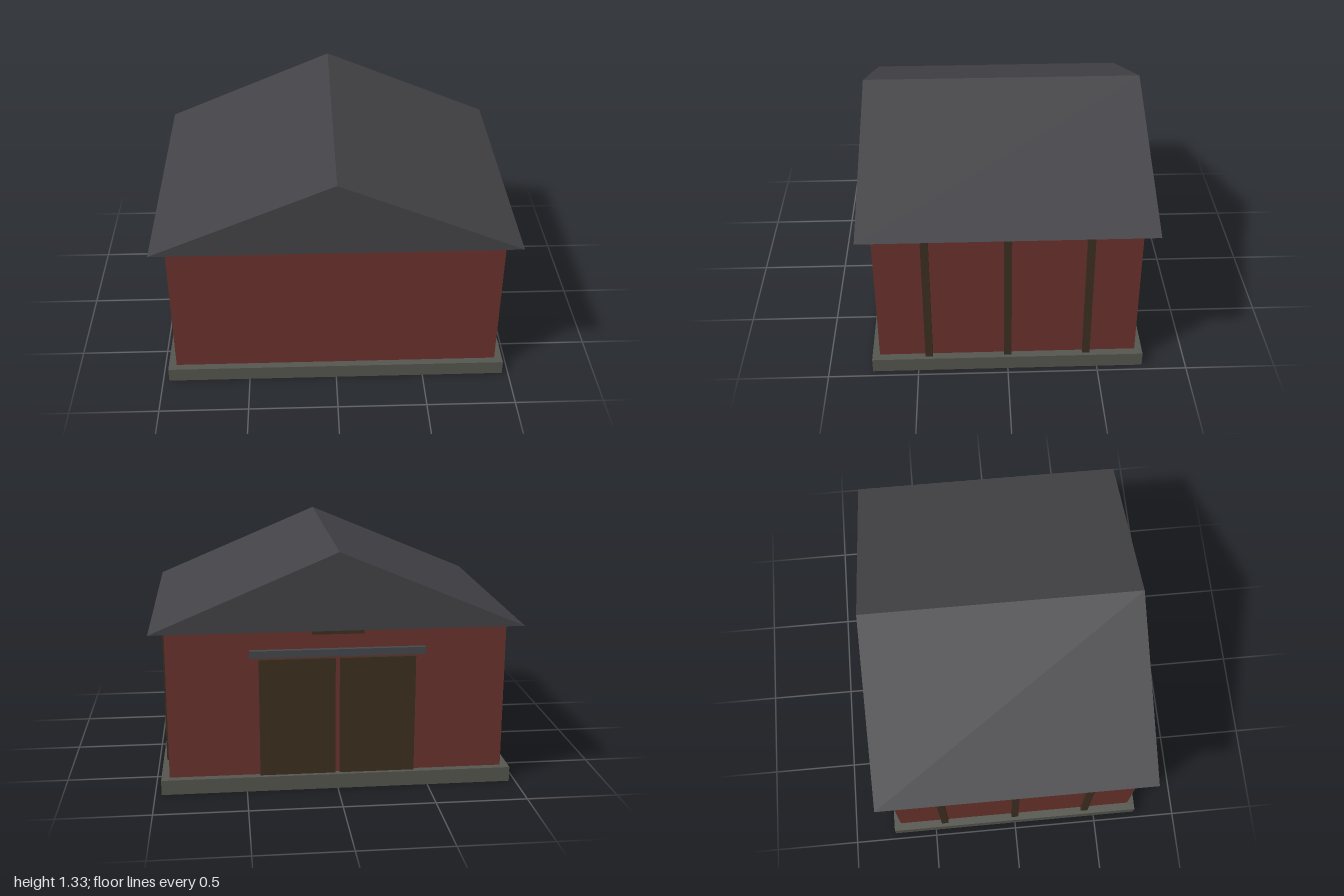
import * as THREE from 'three';

const paint = (color) => new THREE.MeshStandardMaterial({ color });

export function createModel() {
  const barn = new THREE.Group();
  barn.name = 'barn';

  const red = paint(0x6b332d);
  const timber = paint(0x3d2f20);
  const concrete = paint(0x565650);
  const roofing = paint(0x434347);
  const steel = paint(0x45474b);

  // Box given by its min and max corners
  function box(name, material, [x0, y0, z0], [x1, y1, z1]) {
    const mesh = new THREE.Mesh(new THREE.BoxGeometry(x1 - x0, y1 - y0, z1 - z0), material);
    mesh.position.set((x0 + x1) / 2, (y0 + y1) / 2, (z0 + z1) / 2);
    mesh.name = name;
    barn.add(mesh);
  }

  box('foundation', concrete, [-0.965, 0, -0.755], [0.965, 0.083, 0.755]);
  box('walls', red, [-0.92, 0.083, -0.714], [0.92, 0.91, 0.714]);

  // Gable roof: solid triangular prism along z
  const gable = new THREE.Shape([
    new THREE.Vector2(-1, 0.91),
    new THREE.Vector2(1, 0.91),
    new THREE.Vector2(0, 1.33),
  ]);
  const roofGeometry = new THREE.ExtrudeGeometry(gable, { depth: 1.58, bevelEnabled: false });
  roofGeometry.translate(0, 0, -0.79);
  const roof = new THREE.Mesh(roofGeometry, roofing);
  roof.name = 'roof';
  barn.add(roof);

  // Wall posts and sliding doors, mirrored left and right
  for (const side of [-1, 1]) {
    const label = side > 0 ? 'left' : 'right';
    for (const z of [-0.438, 0, 0.438]) {
      const [xa, xb] = [side * 0.91, side * 0.945].sort((a, b) => a - b);
      box(`${label}Post`, timber, [xa, 0.083, z - 0.021], [xb, 0.91, z + 0.021]);
    }
    const [da, db] = [side * 0.012, side * 0.425].sort((a, b) => a - b);
    box(`${label}Door`, timber, [da, 0.083, -0.732], [db, 0.742, -0.71]);
  }

  // Door rail and loft hatch on the back wall
  box('doorRail', steel, [-0.475, 0.755, -0.742], [0.475, 0.795, -0.712]);
  box('loftHatch', timber, [-0.14, 0.877, -0.735], [0.14, 0.93, -0.71]);

  return barn;
}
